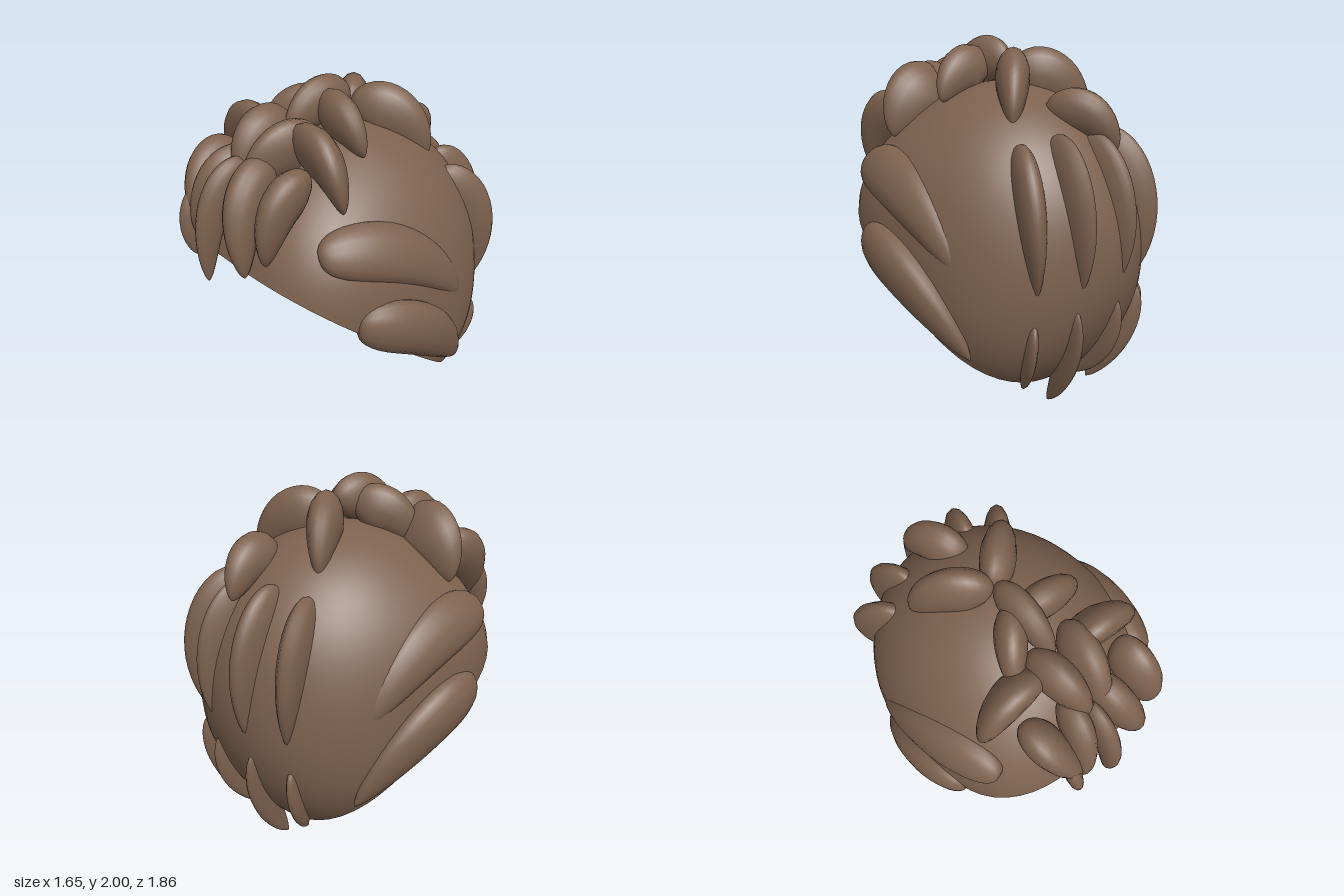
import * as THREE from 'three';
import { mergeVertices } from 'three/addons/utils/BufferGeometryUtils.js';

const hair = new THREE.MeshStandardMaterial({ color: 0x7d614e, side: THREE.DoubleSide });
hair.name = 'brown hair';

const CENTER = new THREE.Vector3(0, 0.85, -0.02);

// Plump lock swept along a curve: blunt root, rounded narrow tip.
// w = half width across the scalp, d = half depth away from the scalp,
// tip = sharpness of the end
function lockGeometry(p0, p1, p2, w, d, tip) {
  const curve = new THREE.QuadraticBezierCurve3(
    new THREE.Vector3(...p0), new THREE.Vector3(...p1), new THREE.Vector3(...p2));
  const rings = 24, sides = 16, peak = 0.36;
  const pos = [], idx = [];
  for (let i = 0; i <= rings; i++) {
    const t = (1 - Math.cos(i / rings * Math.PI)) / 2;
    const u = t < peak ? (peak - t) / peak : (t - peak) / (1 - peak);
    const r = Math.max(0.001, Math.pow(Math.max(0, 1 - u * u), t < peak ? 0.36 : tip));
    const c = curve.getPoint(t), T = curve.getTangent(t);
    const N = c.clone().sub(CENTER);
    N.addScaledVector(T, -N.dot(T)).normalize();
    const B = new THREE.Vector3().crossVectors(T, N);
    for (let j = 0; j < sides; j++) {
      const a = j / sides * Math.PI * 2;
      const p = c.clone().addScaledVector(N, Math.cos(a) * d * r).addScaledVector(B, -Math.sin(a) * w * r);
      pos.push(p.x, p.y, p.z);
    }
  }
  for (let i = 0; i < rings; i++) {
    for (let j = 0; j < sides; j++) {
      const a = i * sides + j, b = i * sides + (j + 1) % sides;
      idx.push(a, b, a + sides, b, b + sides, a + sides);
    }
  }
  const g = new THREE.BufferGeometry();
  g.setAttribute('position', new THREE.Float32BufferAttribute(pos, 3));
  g.setIndex(idx);
  g.computeVertexNormals();
  return g;
}

// Open shell, cut by a plane sloping from forehead to nape;
// its opening is slightly squared at the temples and behind the ears
function capGeometry() {
  const rim = 1.885;
  let g = new THREE.SphereGeometry(1, 64, 36, 0, Math.PI * 2, 0, rim);
  g.deleteAttribute('uv');
  g.deleteAttribute('normal');
  g = mergeVertices(g);
  const p = g.attributes.position;
  for (let i = 0; i < p.count; i++) {
    const x = p.getX(i), y = p.getY(i), z = p.getZ(i);
    const ramp = THREE.MathUtils.smoothstep(Math.acos(THREE.MathUtils.clamp(y, -1, 1)), 0.9, rim);
    const s = 1 + (z > 0 ? 0.12 : 0.1) * ramp * Math.sin(2 * Math.atan2(z, x)) ** 2;
    p.setXYZ(i, x * s, y, z * s);
  }
  g.rotateX(-0.625);
  g.scale(0.735, 0.9, 0.845);
  g.translate(CENTER.x, CENTER.y, CENTER.z);
  g.computeVertexNormals();
  return g;
}

export function createModel() {
  const model = new THREE.Group();
  model.name = 'hair';

  function lock(parent, name, p0, p1, p2, w, d, tip = 0.62) {
    const m = new THREE.Mesh(lockGeometry(p0, p1, p2, w, d, tip), hair);
    m.name = name;
    parent.add(m);
  }
  function pair(parent, name, p0, p1, p2, w, d, tip) {
    const flip = ([x, y, z]) => [-x, y, z];
    lock(parent, name + 'Left', p0, p1, p2, w, d, tip);
    lock(parent, name + 'Right', flip(p0), flip(p1), flip(p2), w, d, tip);
  }
  function group(name) {
    const g = new THREE.Group();
    g.name = name;
    model.add(g);
    return g;
  }

  const cap = new THREE.Mesh(capGeometry(), hair);
  cap.name = 'scalpCap';
  model.add(cap);

  // Broad flat locks sweeping back over the ears
  const side = group('sideLocks');
  pair(side, 'upperSideLock', [0.53, 1.27, 0.57], [0.68, 1.32, 0.07], [0.69, 0.83, -0.3], 0.16, 0.095, 0.7);
  pair(side, 'lowerSideLock', [0.66, 0.88, 0.43], [0.8, 0.86, 0.03], [0.65, 0.35, -0.36], 0.16, 0.1, 0.7);

  // Two rows of thin, deep locks down the back
  const back = group('backLocks');
  lock(back, 'upperBackLockMiddle', [0, 1.47, -0.58], [0, 1.15, -0.81], [0, 0.69, -0.8], 0.06, 0.18, 0.8);
  pair(back, 'upperBackLockInner', [0.2, 1.47, -0.52], [0.27, 1.18, -0.77], [0.26, 0.69, -0.76], 0.075, 0.18, 0.8);
  pair(back, 'upperBackLockOuter', [0.34, 1.41, -0.41], [0.48, 1.18, -0.63], [0.46, 0.69, -0.64], 0.08, 0.19, 0.8);
  lock(back, 'lowerBackLockMiddle', [0, 0.64, -0.78], [0, 0.34, -0.78], [0, 0.11, -0.54], 0.03, 0.1, 0.8);
  pair(back, 'lowerBackLockInner', [0.27, 0.63, -0.73], [0.25, 0.33, -0.74], [0.19, 0, -0.51], 0.035, 0.1, 0.7);
  pair(back, 'lowerBackLockOuter', [0.46, 0.57, -0.62], [0.46, 0.34, -0.6], [0.39, 0.14, -0.49], 0.035, 0.1, 0.8);

  // Tufts along the crown
  const crown = group('crownTufts');
  lock(crown, 'rearTuft', [0.06, 1.56, -0.41], [0, 1.7, -0.6], [-0.08, 1.41, -0.74], 0.09, 0.13);
  pair(crown, 'rearCrownTuft', [0.02, 1.75, -0.09], [0.17, 1.87, -0.24], [0.32, 1.53, -0.36], 0.095, 0.16);
  lock(crown, 'middleTuft', [0, 1.81, -0.03], [0, 1.965, 0.16], [0, 1.7, 0.36], 0.08, 0.135);
  lock(crown, 'middleTuftLeft', [0.02, 1.77, 0.11], [0.17, 1.9, 0.15], [0.35, 1.64, 0.13], 0.09, 0.14);
  lock(crown, 'middleTuftRight', [-0.02, 1.78, 0.07], [-0.14, 1.88, 0.2], [-0.23, 1.62, 0.34], 0.085, 0.14);
  pair(crown, 'sideTuft', [0.13, 1.65, 0.36], [0.34, 1.79, 0.37], [0.49, 1.44, 0.38], 0.095, 0.18);
  lock(crown, 'frontTuftRight', [-0.07, 1.66, 0.32], [-0.07, 1.85, 0.49], [-0.02, 1.52, 0.65], 0.1, 0.16);
  lock(crown, 'frontTuftLeft', [0.13, 1.64, 0.3], [0.13, 1.82, 0.48], [0.05, 1.45, 0.68], 0.09, 0.16);

  // Fringe hanging over the forehead
  const fringe = group('fringe');
  lock(fringe, 'fringeOuterRight', [-0.3, 1.57, 0.49], [-0.31, 1.59, 0.71], [-0.17, 1.2, 0.8], 0.1, 0.15);
  lock(fringe, 'fringeOuterLeft', [0.33, 1.58, 0.48], [0.34, 1.59, 0.7], [0.35, 1.22, 0.76], 0.09, 0.14);
  lock(fringe, 'fringeInnerRight', [-0.09, 1.59, 0.53], [-0.11, 1.63, 0.74], [-0.19, 1.22, 0.83], 0.08, 0.13);
  lock(fringe, 'fringeInnerLeft', [0.1, 1.62, 0.53], [0.13, 1.57, 0.8], [0.23, 1.12, 0.81], 0.095, 0.13);
  lock(fringe, 'fringeMiddle', [-0.01, 1.63, 0.62], [-0.02, 1.54, 0.88], [-0.02, 1.02, 0.88], 0.055, 0.095);
  lock(fringe, 'fringeWisp', [-0.25, 1.46, 0.71], [-0.25, 1.35, 0.88], [-0.23, 1.08, 0.83], 0.045, 0.075);

  return model;
}
